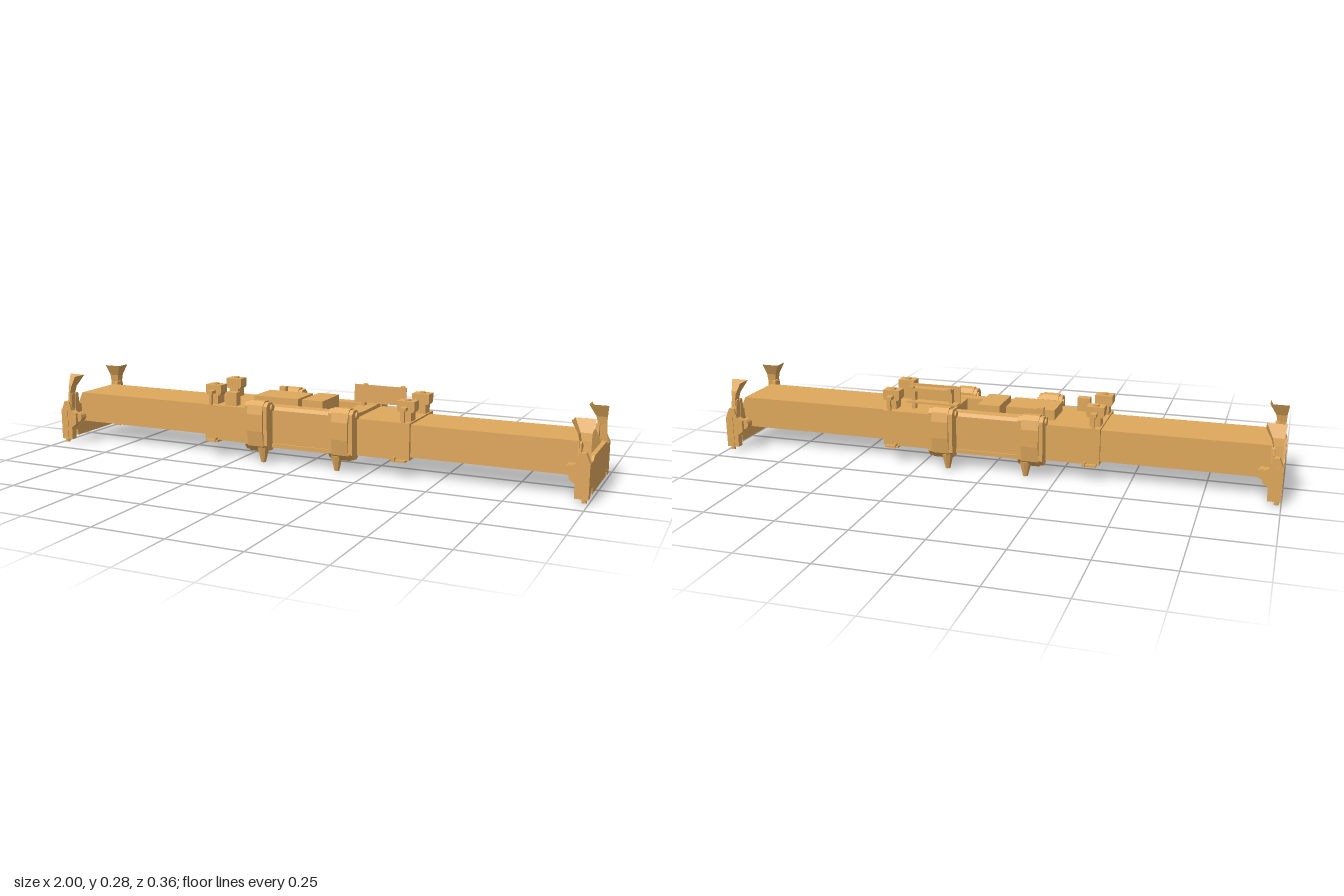
import * as THREE from 'three';

const mat = new THREE.MeshStandardMaterial({ color: 0xdfa85c, flatShading: true, side: THREE.DoubleSide });

function add(parent, name, geo) {
  const mesh = new THREE.Mesh(geo, mat);
  mesh.name = name;
  parent.add(mesh);
  return mesh;
}

// Box given by its limits
function box(parent, name, x0, x1, y0, y1, z0, z1) {
  const g = new THREE.BoxGeometry(x1 - x0, y1 - y0, Math.abs(z1 - z0));
  g.translate((x0 + x1) / 2, (y0 + y1) / 2, (z0 + z1) / 2);
  return add(parent, name, g);
}

// [z, y] section drawn out from x0 to x1
function sectionX(parent, name, pts, x0, x1) {
  const s = new THREE.Shape(pts.map(([z, y]) => new THREE.Vector2(-z, y)));
  const g = new THREE.ExtrudeGeometry(s, { depth: x1 - x0, bevelEnabled: false });
  g.rotateY(Math.PI / 2).translate(x0, 0, 0);
  return add(parent, name, g);
}

// [x, y] section drawn out from z0 to z1
function sectionZ(parent, name, pts, z0, z1) {
  const s = new THREE.Shape(pts.map(([x, y]) => new THREE.Vector2(x, y)));
  const g = new THREE.ExtrudeGeometry(s, { depth: Math.abs(z1 - z0), bevelEnabled: false });
  g.translate(0, 0, Math.min(z0, z1));
  return add(parent, name, g);
}

function cylinder(parent, name, r, len, axis, x, y, z, sides = 12) {
  const g = new THREE.CylinderGeometry(r, r, len, sides);
  if (axis === 'x') g.rotateZ(Math.PI / 2);
  if (axis === 'z') g.rotateX(Math.PI / 2);
  return add(parent, name, g.translate(x, y, z));
}

// Angle-iron guide whose inner corner leans inward as it flares at the top
function cornerGuide(parent, s) {
  // [y, corner x, corner z, outer x, outer z]
  const rows = [
    [0.09, 0.968, 0.148, 0.998, 0.175],
    [0.14, 0.965, 0.142, 0.996, 0.172],
    [0.19, 0.962, 0.138, 0.993, 0.168],
    [0.215, 0.957, 0.134, 0.994, 0.168],
    [0.257, 0.935, 0.113, 1.0, 0.17],
  ];
  const pos = [], idx = [];
  for (const [y, cx, cz, ox, oz] of rows) pos.push(ox, y, s * cz, cx, y, s * cz, cx, y, s * oz);
  for (let r = 0; r < rows.length - 1; r++) {
    for (let c = 0; c < 2; c++) {
      const a = r * 3 + c, b = a + 3;
      if (s > 0) idx.push(a, b, a + 1, a + 1, b, b + 1);
      else idx.push(a, a + 1, b, a + 1, b + 1, b);
    }
  }
  const g = new THREE.BufferGeometry();
  g.setAttribute('position', new THREE.Float32BufferAttribute(pos, 3));
  g.setIndex(idx);
  g.computeVertexNormals();
  add(parent, 'cornerGuide', g);
}

// One telescopic half: beam, sleeve and end frame
function createHalf() {
  const half = new THREE.Group();
  half.name = 'telescopicHalf';

  sectionZ(half, 'beam', [[0.15, 0.07], [0.985, 0.07], [0.985, 0.14], [0.965, 0.182], [0.15, 0.182]], -0.09, 0.11);
  box(half, 'beamSleeve', 0.2, 0.395, 0.06, 0.188, -0.12, 0.122);
  box(half, 'sleeveBottomPlate', 0.335, 0.385, 0.055, 0.062, -0.135, 0.135);
  box(half, 'sleeveRib', 0.342, 0.348, 0.055, 0.07, -0.14, 0.14);

  // End frame plate with notches above the feet
  const side = [[0.118, 0.018], [0.12, 0.042], [0.135, 0.042], [0.14, 0.03], [0.15, 0.025],
    [0.152, 0.014], [0.178, 0.014], [0.178, 0.128], [0.125, 0.128], [0.11, 0.14]];
  const mirrored = side.map(([z, y]) => [-z, y]).reverse();
  sectionX(half, 'endFrame', [...side, ...mirrored], 0.972, 1.0);

  for (const s of [1, -1]) {
    // Corner foot, widening inward behind the frame
    sectionZ(half, 'cornerFoot', [[0.955, 0.014], [0.998, 0.014], [0.998, 0.13], [0.985, 0.16],
      [0.965, 0.16], [0.955, 0.125], [0.935, 0.115], [0.935, 0.075], [0.955, 0.06]], s * 0.152, s * 0.176);
    sectionX(half, 'guideBracket', [[s * 0.1, 0.09], [s * 0.15, 0.09], [s * 0.142, 0.19],
      [s * 0.128, 0.19], [s * 0.122, 0.135]], 0.956, 0.97);
    sectionX(half, 'guideStay', [[s * 0.14, 0.13], [s * 0.172, 0.13], [s * 0.165, 0.188],
      [s * 0.15, 0.192], [s * 0.14, 0.18]], 0.958, 0.968);
    cylinder(half, 'footPin', 0.018, 0.03, 'z', 0.935, 0.1, s * 0.15);
    cylinder(half, 'twistLockShaft', 0.008, 0.03, 'y', 0.985, 0.02, s * 0.165, 10);
    box(half, 'twistLockHead', 0.977, 0.993, 0, 0.009, s * 0.162, s * 0.168);
    cornerGuide(half, s);

    // Lifting lug standing on the sleeve
    const z0 = s * 0.052, z1 = s * 0.097;
    box(half, 'lugPost', 0.352, 0.39, 0.185, 0.225, z0, z1);
    sectionZ(half, 'lugHead', [[0.345, 0.22], [0.398, 0.22], [0.402, 0.228], [0.402, 0.257],
      [0.34, 0.257], [0.34, 0.228]], z0, z1);
    cylinder(half, 'lugPin', 0.011, 0.008, 'y', 0.371, 0.258, s * 0.075);
    box(half, 'lugArm', 0.36, 0.38, 0.228, 0.239, s * 0.09, s * 0.125);
    box(half, 'lugArmSupport', 0.365, 0.375, 0.185, 0.235, s * 0.112, s * 0.122);
  }
  return half;
}

// Side arm with rounded casing and a tapering finger
function sideArm(parent, x, s) {
  const arm = new THREE.Group();
  arm.name = 'sideArm';
  parent.add(arm);
  const outline = [[0.11, 0.05], [0.11, 0.21], [0.125, 0.224], [0.15, 0.226], [0.166, 0.212],
    [0.174, 0.18], [0.174, 0.12], [0.166, 0.065], [0.15, 0.045], [0.125, 0.042]];
  const inset = outline.map(([z, y]) => [s * Math.min(z, 0.165), 0.13 + (y - 0.13) * 0.95]);
  sectionX(arm, 'armCasing', inset, x - 0.044, x + 0.044);
  sectionX(arm, 'armSpine', outline.map(([z, y]) => [s * z, y]), x - 0.03, x + 0.03);
  const tipX = Math.sign(x) * 0.142;
  const finger = new THREE.CylinderGeometry(0.022, 0.009, 0.055, 8);
  add(arm, 'armFinger', finger.translate(tipX, 0.033, s * 0.145));
  cylinder(arm, 'armHinge', 0.012, 0.1, 'x', x, 0.2, s * 0.128);
}

export function createModel() {
  const model = new THREE.Group();
  model.name = 'liftingSpreader';

  // Telescopic halves, turned half round from each other
  for (const turn of [0, Math.PI]) {
    const half = createHalf();
    half.rotation.y = turn;
    model.add(half);
  }

  // Central frame: side walls, chamfered along the top, joined by end decks
  for (const s of [1, -1]) {
    sectionX(model, 'frameSideWall', [[s * 0.072, 0.056], [s * 0.12, 0.056], [s * 0.122, 0.19],
      [s * 0.114, 0.202], [s * 0.072, 0.202]], -0.2, 0.2);
    box(model, 'frameRail', -0.2, 0.2, 0.056, 0.07, s * 0.115, s * 0.126);
    for (const x of [-0.162, 0.162]) sideArm(model, x, s);
  }
  box(model, 'leftDeck', 0.14, 0.2, 0.06, 0.2, -0.072, 0.072);
  box(model, 'rightDeck', -0.2, -0.05, 0.06, 0.2, -0.072, 0.072);

  // Equipment on the deck
  box(model, 'deckCabinet', -0.222, -0.048, 0.185, 0.224, -0.065, 0.06);
  box(model, 'crossCabinet', -0.027, 0.053, 0.17, 0.226, -0.075, 0.07);
  box(model, 'crossBeam', -0.02, 0.045, 0.056, 0.17, -0.075, 0.075);
  box(model, 'junctionBox', -0.317, -0.272, 0.185, 0.236, 0.073, 0.104);
  box(model, 'rearValve', -0.19, -0.165, 0.2, 0.237, -0.095, -0.075);

  // Upright panel on two posts, with fittings behind it
  box(model, 'panel', 0.128, 0.322, 0.212, 0.276, -0.046, -0.041);
  box(model, 'panelShelf', 0.128, 0.322, 0.212, 0.218, -0.08, -0.045);
  box(model, 'panelFitting', 0.15, 0.3, 0.256, 0.268, -0.08, -0.046);
  for (const x of [0.15, 0.29]) {
    box(model, 'panelPost', x, x + 0.014, 0.185, 0.258, -0.068, -0.046);
    cylinder(model, 'panelKnob', 0.009, 0.008, 'y', x + 0.007, 0.27, -0.075);
  }
  return model;
}
